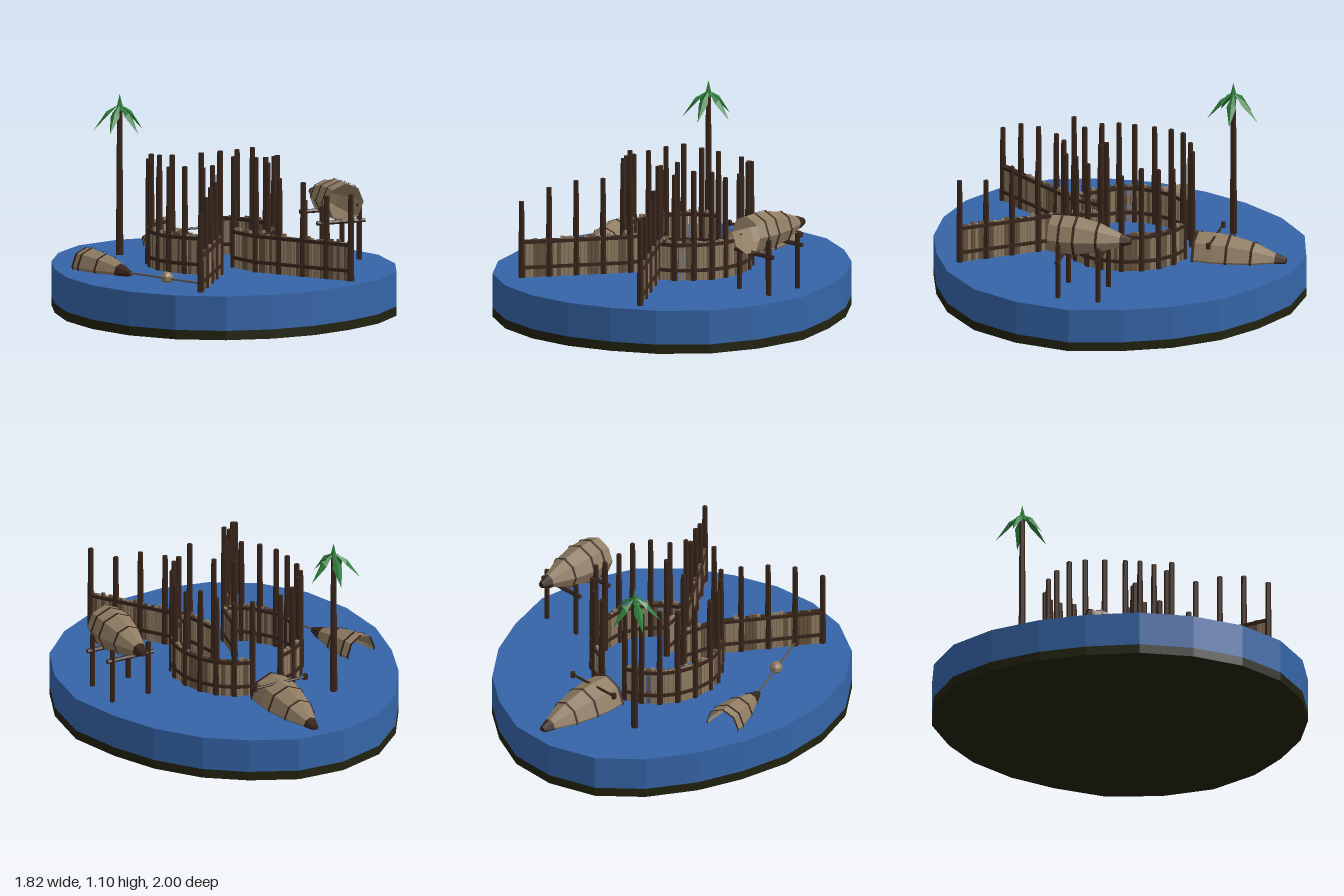
import * as THREE from 'three';

const mat = (name, color, side = THREE.FrontSide) => {
  const m = new THREE.MeshStandardMaterial({ color, flatShading: true, side });
  m.name = name;
  return m;
};

export function createModel() {
  const root = new THREE.Group();
  root.name = 'islandFort';
  const water = mat('water blue', 0x3565a8);
  const base = mat('dark base', 0x22220f, THREE.DoubleSide);
  const dark = mat('dark wood', 0x38251b, THREE.DoubleSide);
  const tan = mat('tan wood', 0x8f7c62, THREE.DoubleSide);
  const brown = mat('brown wood', 0x66533f);
  const green = mat('leaf green', 0x2f7f3c, THREE.DoubleSide);
  const G = 0.235; // water level

  let seed = 7;
  const rand = () => (seed = (seed * 16807) % 2147483647) / 2147483647;

  const add = (parent, name, geo, m, x = 0, y = 0, z = 0) => {
    const mesh = new THREE.Mesh(geo, m);
    mesh.name = name;
    mesh.position.set(x, y, z);
    parent.add(mesh);
    return mesh;
  };
  const group = (name, parent = root) => {
    const g = new THREE.Group();
    g.name = name;
    parent.add(g);
    return g;
  };
  // Round bar between two points
  const bar = (parent, name, a, b, r, m, sides = 6) => {
    const A = new THREE.Vector3(...a), B = new THREE.Vector3(...b);
    const d = B.clone().sub(A);
    const mesh = add(parent, name, new THREE.CylinderGeometry(r, r, d.length(), sides), m);
    mesh.position.copy(A).add(B).multiplyScalar(0.5);
    mesh.quaternion.setFromUnitVectors(new THREE.Vector3(0, 1, 0), d.normalize());
    return mesh;
  };

  // Water slab on its dark base
  const rim = [[-.15, -1], [.11, -.985], [.35, -.87], [.55, -.72], [.72, -.5], [.83, -.26], [.908, .02],
    [.87, .32], [.76, .58], [.56, .78], [.34, .9], [.1, .98], [-.15, .995], [-.4, .94], [-.63, .8],
    [-.8, .58], [-.89, .31], [-.908, .02], [-.85, -.26], [-.76, -.5], [-.61, -.74], [-.41, -.92]];
  const outline = new THREE.Shape(rim.map(([x, z]) => new THREE.Vector2(x, -z)));
  const slab = (name, y0, y1, m) => add(root, name,
    new THREE.ExtrudeGeometry(outline, { depth: y1 - y0, bevelEnabled: false }).rotateX(-Math.PI / 2), m, 0, y0, 0);
  slab('base', 0, 0.05, base);
  slab('water', 0.05, G, water);

  // Palisade: posts with plank panels and two rails
  const fence = group('palisade');
  const post = ([x, z], top) =>
    add(fence, 'post', new THREE.CylinderGeometry(0.014, 0.018, top - G, 6), dark, x, (G + top) / 2, z);
  const panel = (a, b) => {
    const g = group('fencePanel', fence);
    const len = Math.hypot(b[0] - a[0], b[1] - a[1]);
    g.position.set((a[0] + b[0]) / 2, 0, (a[1] + b[1]) / 2);
    g.rotation.y = -Math.atan2(b[1] - a[1], b[0] - a[0]);
    const n = Math.max(3, Math.round(len / 0.022));
    for (let i = 0; i < n; i++) {
      const h = 0.195 + rand() * 0.025;
      add(g, 'plank', new THREE.BoxGeometry(len / n * 0.88, h, 0.014), rand() < 0.6 ? tan : brown,
        (i + 0.5) / n * len - len / 2, G + h / 2, 0);
    }
    for (const y of [0.29, 0.428])
      add(g, 'rail', new THREE.BoxGeometry(len, 0.018, 0.03), dark, 0, y, 0);
  };
  const run = (pts, tops) => pts.forEach((p, i) => {
    if (tops[i]) post(p, tops[i]);
    if (i) panel(pts[i - 1], p);
  });

  const CX = -0.023;
  const ring = [[.104, .27], [.19, .235], [.26, .16], [.315, .08], [.338, 0], [.335, -.11], [.303, -.21],
    [.25, -.29], [.175, -.35], [.085, -.385]];
  const wing = [[.104, .27], [.187, .39], [.27, .51], [.353, .63], [.438, .752]];
  const inner = [[.104, .27], [.062, .08]];
  const tops = {
    '-1': { ring: [.9, .81, .81, .8, .79, .79, .8, .81, .79, .78], wing: [0, .755, .75, .72, .65], inner: [0, .79] },
    '1': { ring: [.85, .81, .83, .82, .78, .78, .82, .8, .78, .78], wing: [0, .75, .74, .68, .7], inner: [0, .83] },
  };
  for (const s of [-1, 1]) {
    const side = pts => pts.map(([x, z]) => [CX + s * x, z]);
    run(side(ring), tops[s].ring);
    run(side(wing), tops[s].wing);
    run(side(inner), tops[s].inner);
  }

  // Hollow banded hull, mouth at its origin and nose toward -z; profile is [distance, radius]
  const hull = (name, profile, bands) => {
    const g = group(name);
    add(g, 'hullShell', new THREE.LatheGeometry(
      profile.map(([t, r]) => new THREE.Vector2(r, t)), 8).rotateX(-Math.PI / 2), tan);
    for (const i of bands) {
      const [t, r] = profile[i];
      add(g, 'band', new THREE.CylinderGeometry(r + .004, r + .005, .014, 8, 1, true).rotateX(-Math.PI / 2),
        dark, 0, 0, -t);
    }
    const [t1, r1] = profile[profile.length - 2], [t2, r2] = profile[profile.length - 1];
    add(g, 'noseCap', new THREE.CylinderGeometry(r2 + .002, r1 + .003, t2 - t1, 8).rotateX(-Math.PI / 2),
      dark, 0, 0, -(t1 + t2) / 2);
    add(g, 'innerEnd', new THREE.CircleGeometry(r1, 8), base, 0, 0, -t1 + .004);
    return g;
  };

  // Hull raised on a trestle
  const raised = hull('raisedHull',
    [[0, .104], [.06, .109], [.14, .108], [.26, .083], [.38, .036], [.435, .016]], [1, 2, 3]);
  raised.position.set(0.645, 0.555, 0.182);
  const trestle = group('trestle');
  for (const [z, y] of [[.12, .445], [-.1, .475]]) {
    for (const x of [.535, .752]) bar(trestle, 'trestlePost', [x, G, z], [x, .535, z], .014, dark);
    bar(trestle, 'crossBar', [.505, y, z], [.785, y, z], .012, dark);
  }

  // Half sunken hull behind the fort
  const sunk = hull('sunkenHull',
    [[0, .118], [.1, .12], [.18, .112], [.31, .085], [.43, .036], [.487, .016]], [0, 2, 3]);
  sunk.position.set(CX, 0.245, -0.438);
  bar(root, 'hullBar', [-.175, .35, -.537], [.13, .35, -.537], .007, dark);
  for (const x of [-.175, .13]) add(root, 'barKnob', new THREE.CylinderGeometry(.013, .013, .03, 6), dark, x, .35, -.537);

  // Wrecked hull with a tow line and float
  const wreck = hull('wreckedHull', [[0, .092], [.05, .096], [.17, .078], [.29, .042], [.375, .012]], [0, 1, 2]);
  wreck.position.set(-0.68, 0.25, -0.228);
  wreck.rotation.y = Math.PI + Math.atan2(0.09, 0.36);
  bar(root, 'towLine', [-.59, .255, .13], [-.38, .255, .63], .005, brown);
  add(root, 'float', new THREE.SphereGeometry(.035, 7, 5), tan, -.485, .257, .375);

  // Palm
  const palm = group('palm');
  palm.position.set(-0.34, 0, -0.548);
  add(palm, 'trunk', new THREE.CylinderGeometry(.014, .02, 1.02 - G, 6), dark, 0, (G + 1.02) / 2, 0);
  add(palm, 'crownTip', new THREE.ConeGeometry(.022, .09, 5), green, 0, 1.055, 0);
  const leaf = new THREE.BufferGeometry();
  leaf.setAttribute('position', new THREE.Float32BufferAttribute([
    0, 1.045, 0, .065, .985, -.026, .07, 1.005, 0, .065, .985, .026, .14, .9, 0], 3));
  leaf.setIndex([0, 2, 1, 0, 3, 2, 1, 2, 4, 2, 3, 4]);
  leaf.computeVertexNormals();
  for (const [x, z] of [[.03, -.15], [.125, -.012], [.05, .14], [-.11, .105], [-.12, -.06]])
    add(palm, 'leaf', leaf, green).rotation.y = -Math.atan2(z, x);

  return root;
}
